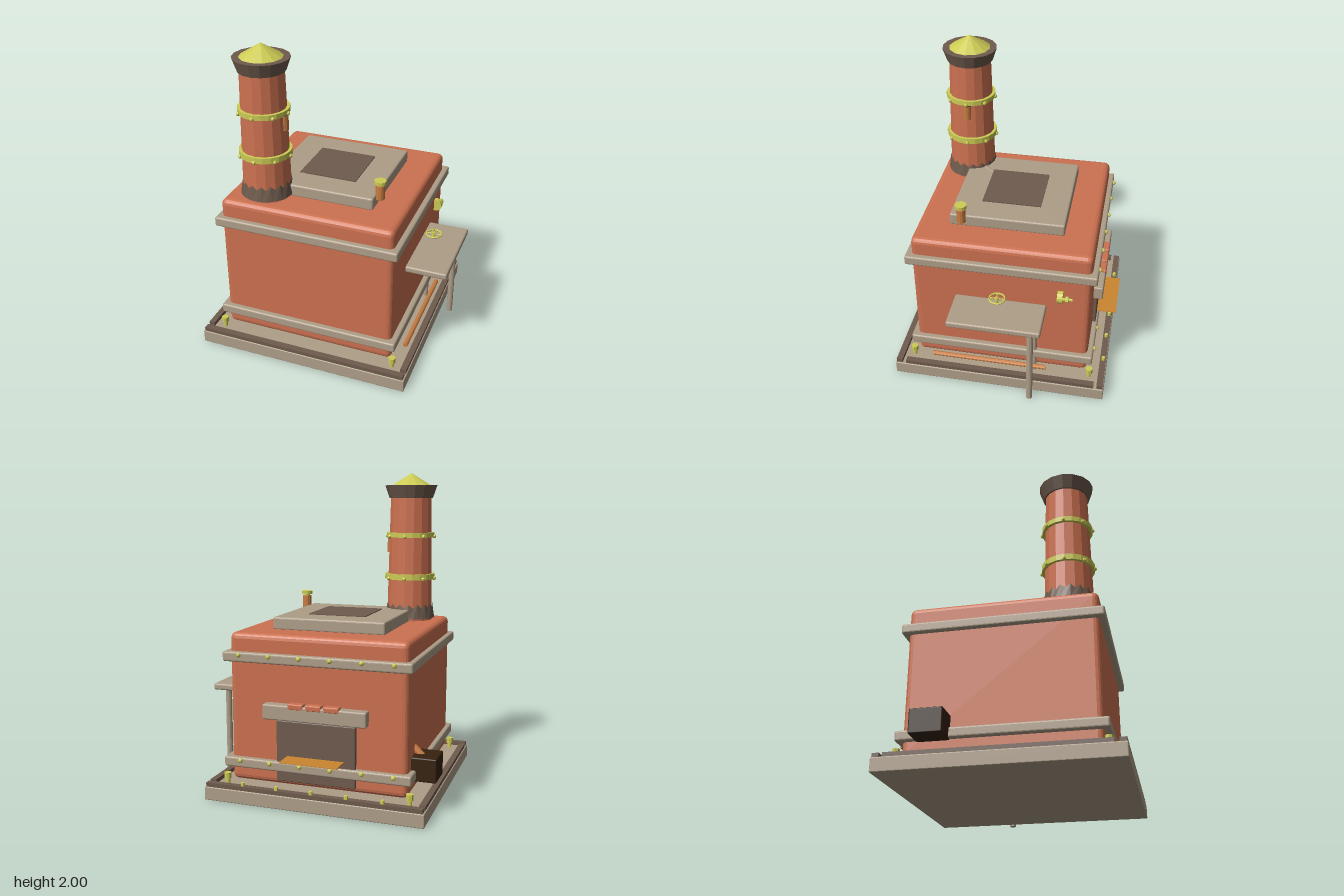
import * as THREE from 'three';
import { RoundedBoxGeometry } from 'three/addons/geometries/RoundedBoxGeometry.js';

export function createModel() {
  const model = new THREE.Group();
  model.name = 'brickOven';
  const mat = (name, color, opts = {}) => {
    const m = new THREE.MeshStandardMaterial({ color, ...opts });
    m.name = name;
    return m;
  };
  const terracotta = mat('terracotta', 0xcc7150, { flatShading: true });
  const stone = mat('stone', 0xae9e88, { flatShading: true });
  const darkStone = mat('darkStone', 0x6e5b4d, { flatShading: true, side: THREE.DoubleSide });
  const brass = mat('brass', 0xcccb55, { flatShading: true });
  const copper = mat('copper', 0xc87c42, { flatShading: true });
  const amber = mat('amber', 0xcb8631, { side: THREE.DoubleSide });
  const charcoal = mat('charcoal', 0x36220f);

  const add = (name, geo, material, x = 0, y = 0, z = 0) => {
    const m = new THREE.Mesh(geo, material);
    m.name = name;
    m.position.set(x, y, z);
    model.add(m);
    return m;
  };
  // Box from its min/max corners, optionally rounded
  const box = (name, material, x0, x1, y0, y1, z0, z1, r = 0) => {
    const s = [x1 - x0, y1 - y0, z1 - z0];
    const g = r ? new RoundedBoxGeometry(...s, 2, r) : new THREE.BoxGeometry(...s);
    return add(name, g, material, (x0 + x1) / 2, (y0 + y1) / 2, (z0 + z1) / 2);
  };
  // Upright cylinder from y0 to y1
  const cyl = (name, material, x, z, y0, y1, r0, r1 = r0, n = 12) =>
    add(name, new THREE.CylinderGeometry(r1, r0, y1 - y0, n), material, x, (y0 + y1) / 2, z);
  // Rod between two points
  const rod = (name, material, a, b, r, n = 10) => {
    const p = new THREE.Vector3(...a), q = new THREE.Vector3(...b), d = q.clone().sub(p);
    const m = add(name, new THREE.CylinderGeometry(r, r, d.length(), n), material);
    m.position.copy(p).add(q).multiplyScalar(0.5);
    m.quaternion.setFromUnitVectors(new THREE.Vector3(0, 1, 0), d.normalize());
    return m;
  };

  // Plinth with four dark edging strips
  box('plinth', stone, -0.75, 0.63, 0, 0.085, -0.68, 0.7, 0.006);
  box('edgingBack', darkStone, -0.74, 0.62, 0.08, 0.11, -0.675, -0.635);
  box('edgingFront', darkStone, -0.74, 0.62, 0.08, 0.11, 0.655, 0.695);
  box('edgingRight', darkStone, -0.743, -0.705, 0.08, 0.11, -0.615, 0.63);
  box('edgingLeft', darkStone, 0.585, 0.623, 0.08, 0.11, -0.615, 0.63);
  for (let i = 0; i < 5; i++)
    cyl('edgingStud', brass, -0.5 + i * 0.22, -0.657, 0.1, 0.132, 0.014, 0.012, 8);

  // Oven body and its two bands
  box('body', terracotta, -0.62, 0.5, 0.11, 1.035, -0.555, 0.57, 0.035);
  for (const [name, y] of [['lowerBand', 0.2], ['upperBand', 0.86]]) {
    box(name, stone, -0.65, 0.535, y, y + 0.062, -0.59, 0.605, 0.012);
    for (let i = 0; i < 6; i++)
      add('bandStud', new THREE.SphereGeometry(0.015, 8, 6), brass, -0.545 + i * 0.194, y + 0.045, -0.592);
  }
  for (const x of [-0.64, 0.52])
    for (const z of [-0.575, 0.595]) {
      cyl('cornerBoltStem', brass, x, z, 0.08, 0.125, 0.013);
      cyl('cornerBolt', brass, x, z, 0.12, 0.155, 0.023, 0.023, 8);
    }

  // Roof slab and inset plate
  box('roofSlab', stone, -0.42, 0.3, 1.03, 1.11, -0.355, 0.367, 0.012);
  box('roofPlate', darkStone, -0.245, 0.128, 1.1, 1.116, -0.18, 0.195);
  rod('flueLink', stone, [-0.33, 1.09, 0.31], [-0.21, 1.09, 0.18], 0.024);

  // Chimney
  const cx = -0.39, cz = 0.37;
  cyl('chimney', terracotta, cx, cz, 1.03, 1.86, 0.152, 0.134, 16);
  const collar = new THREE.CylinderGeometry(0.151, 0.165, 0.07, 32, 1, true);
  const cp = collar.attributes.position;
  for (let i = 0; i < cp.count; i++)
    if (cp.getY(i) > 0 && i % 2) cp.setY(i, cp.getY(i) + 0.025);
  add('chimneyCollar', collar, darkStone, cx, 1.083, cz);
  for (const [y0, y1, r] of [[1.305, 1.342, 0.164], [1.582, 1.613, 0.159]]) {
    cyl('chimneyHoop', brass, cx, cz, y0, y1, r, r, 20);
    for (let i = 0; i < 8; i++) {
      const a = (i * Math.PI) / 4 + 0.0;
      add('hoopStud', new THREE.SphereGeometry(0.013, 6, 5), brass,
        cx + Math.cos(a) * r, y0 + 0.006, cz + Math.sin(a) * r);
    }
  }
  cyl('chimneyCrown', darkStone, cx, cz, 1.838, 1.92, 0.145, 0.173, 16);
  cyl('chimneyCap', brass, cx, cz, 1.915, 2, 0.14, 0, 12);
  cyl('chimneyValve', copper, -0.26, cz, 1.48, 1.57, 0.028);
  cyl('chimneyValveCap', darkStone, -0.268, cz, 1.57, 1.592, 0.03, 0.038);

  // Roof valve
  cyl('roofValve', copper, 0.32, 0.287, 1.08, 1.172, 0.029);
  cyl('roofValveNeck', brass, 0.32, 0.287, 1.165, 1.187, 0.02);
  cyl('roofValveKnob', brass, 0.32, 0.287, 1.184, 1.204, 0.038);

  // Side table
  box('tableTop', stone, 0.49, 0.762, 0.595, 0.637, -0.282, 0.3, 0.012);
  cyl('outerLeg', stone, 0.687, -0.21, 0, 0.6, 0.02);
  cyl('innerLeg', stone, 0.51, -0.21, 0.085, 0.6, 0.018);

  // Handwheel above the table
  const rim = add('handwheelRim', new THREE.TorusGeometry(0.048, 0.006, 6, 20), brass, 0.598, 0.732, 0.01);
  rim.rotation.x = Math.PI / 2;
  rod('handwheelSpoke', brass, [0.55, 0.732, 0.01], [0.646, 0.732, 0.01], 0.004, 6);
  rod('handwheelSpoke', brass, [0.598, 0.732, -0.038], [0.598, 0.732, 0.058], 0.004, 6);
  cyl('handwheelHub', brass, 0.598, 0.01, 0.722, 0.742, 0.012);
  cyl('handwheelSpindle', brass, 0.598, 0.01, 0.7, 0.768, 0.004, 0.004, 6);

  // Side gauge
  rod('gauge', brass, [0.512, 0.73, -0.385], [0.512, 0.73, -0.35], 0.04, 16);
  rod('gaugeStem', brass, [0.53, 0.73, -0.445], [0.53, 0.73, -0.38], 0.009, 8);
  rod('gaugeNut', brass, [0.53, 0.73, -0.42], [0.53, 0.73, -0.402], 0.02, 8);

  // Copper pipe beside the plinth
  rod('sidePipe', copper, [0.562, 0.155, -0.295], [0.562, 0.155, 0.453], 0.015);

  // Hearth on the back
  box('hearthOpening', darkStone, -0.31, 0.19, 0.14, 0.52, -0.577, -0.54, 0.008);
  box('mantel', stone, -0.385, 0.265, 0.528, 0.622, -0.615, -0.54, 0.01);
  for (let i = 0; i < 3; i++)
    box('mantelBrick', terracotta, -0.22 + i * 0.112, -0.124 + i * 0.112, 0.6, 0.636, -0.617, -0.565, 0.008);
  box('hearthShelf', amber, -0.24, 0.12, 0.299, 0.303, -0.705, -0.56);

  // Coal box and chute on the right side
  box('coalBox', charcoal, -0.77, -0.61, 0.195, 0.34, -0.47, -0.278, 0.008);
  rod('coalChute', copper, [-0.68, 0.31, -0.373], [-0.6, 0.385, -0.373], 0.022);

  return model;
}
